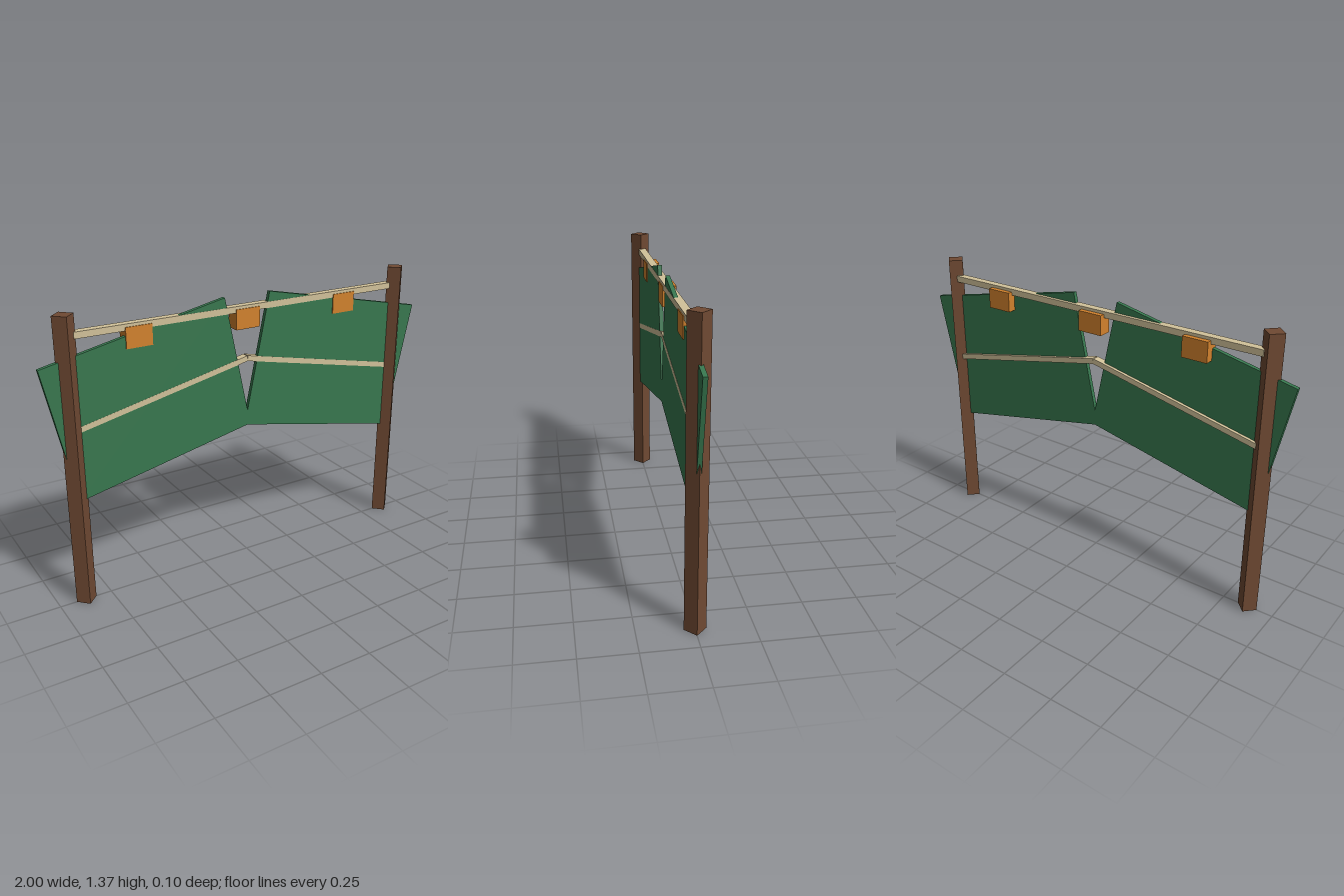
import * as THREE from 'three';

const material = (name, color) => new THREE.MeshStandardMaterial({ name, color });

export function createModel() {
  const model = new THREE.Group();
  model.name = 'banneredCrossbar';

  const wood = material('dark wood', 0x704a33);
  const cloth = material('green panel', 0x38784f);
  const pale = material('pale rail', 0xd2c29a);
  const orange = material('orange block', 0xd2822d);

  const addBox = (name, mat, size, position, tilt = 0) => {
    const mesh = new THREE.Mesh(new THREE.BoxGeometry(...size), mat);
    mesh.name = name;
    mesh.position.set(...position);
    mesh.rotation.z = tilt;
    model.add(mesh);
    return mesh;
  };

  const tilt = 0.208; // both panels rise toward the middle
  for (const side of [-1, 1]) {
    const label = side > 0 ? 'left' : 'right';

    // Square post turned corner-on
    const post = addBox(label + 'Post', wood, [0.068, 1.365, 0.068], [side * 0.873, 0.6825, 0]);
    post.rotation.y = Math.PI / 4;

    // Tilted panel
    addBox(label + 'Panel', cloth, [0.9, 0.651, 0.02], [side * 0.4925, 0.924, 0], -side * tilt);

    // Sloping middle rail, from the post up to the centre
    const dx = 0.86, dy = 0.183;
    addBox(label + 'MiddleRail', pale, [Math.hypot(dx, dy), 0.026, 0.036],
      [side * dx / 2, 1.031 - dy / 2, -0.0072], -side * Math.atan2(dy, dx));
  }

  // Straight top rail
  addBox('topRail', pale, [1.69, 0.03, 0.038], [0, 1.272, -0.008]);

  // Blocks hung on the top rail
  for (const x of [-0.545, 0, 0.545]) {
    addBox('hangingBlock', orange, [0.125, 0.096, 0.066], [x, 1.225, -0.018]);
  }

  return model;
}
